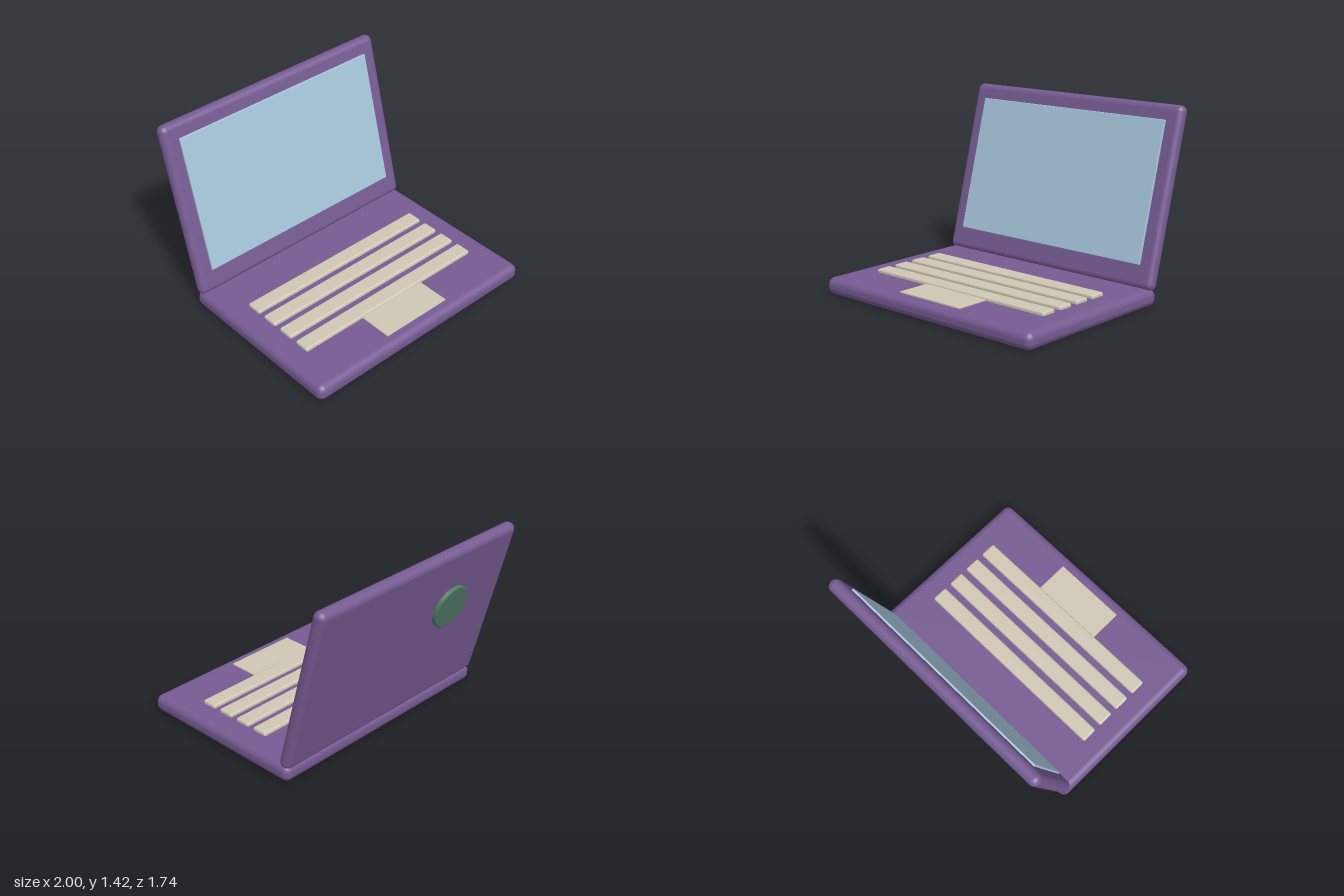
import * as THREE from 'three';
import { RoundedBoxGeometry } from 'three/addons/geometries/RoundedBoxGeometry.js';

function material(name, color) {
  const m = new THREE.MeshStandardMaterial({ color });
  m.name = name;
  return m;
}

// Rounded slab placed by its centre
function slab(name, mat, size, radius, pos, segments = 5) {
  const mesh = new THREE.Mesh(new RoundedBoxGeometry(...size, segments, radius), mat);
  mesh.name = name;
  mesh.position.set(...pos);
  return mesh;
}

export function createModel() {
  const purple = material('purple casing', 0x765a92);
  const blue = material('pale blue screen', 0xa6c5da);
  const beige = material('beige keys', 0xcfc7b5);
  const green = material('dark green disc', 0x507863);

  const model = new THREE.Group();
  model.name = 'laptop';

  // Base with four key rows and a trackpad
  model.add(slab('base', purple, [2, 0.13, 1.405], 0.055, [0, 0.065, 0.1675]));
  for (let i = 0; i < 4; i++) {
    model.add(slab('keyRow', beige, [1.64, 0.05, 0.125], 0.015, [0, 0.131, -0.073 + i * 0.177], 3));
  }
  model.add(slab('trackpad', beige, [0.586, 0.03, 0.29], 0.004, [0, 0.126, 0.637], 2));

  // Lid leaning back, with everything on it in lid space
  const lid = new THREE.Group();
  lid.name = 'lid';
  lid.position.set(0, 0.765, -0.66);
  lid.rotation.x = -THREE.MathUtils.degToRad(15);
  lid.add(slab('lidPanel', purple, [2, 1.354, 0.1], 0.048, [0, 0, 0]));
  lid.add(slab('screen', blue, [1.76, 1.06, 0.03], 0.005, [0, 0.026, 0.05], 2));

  // Round badge with a softened rim on the back of the lid
  const profile = [[0.171, 0], [0.171, 0.03], [0.168, 0.035], [0.162, 0.038], [0.162, 0.038], [0, 0.038]]
    .map(([r, y]) => new THREE.Vector2(r, y));
  const disc = new THREE.Mesh(new THREE.LatheGeometry(profile, 40), green);
  disc.name = 'backDisc';
  disc.rotation.x = -Math.PI / 2;
  disc.position.set(-0.4, 0.19, -0.04);
  lid.add(disc);

  model.add(lid);
  return model;
}
